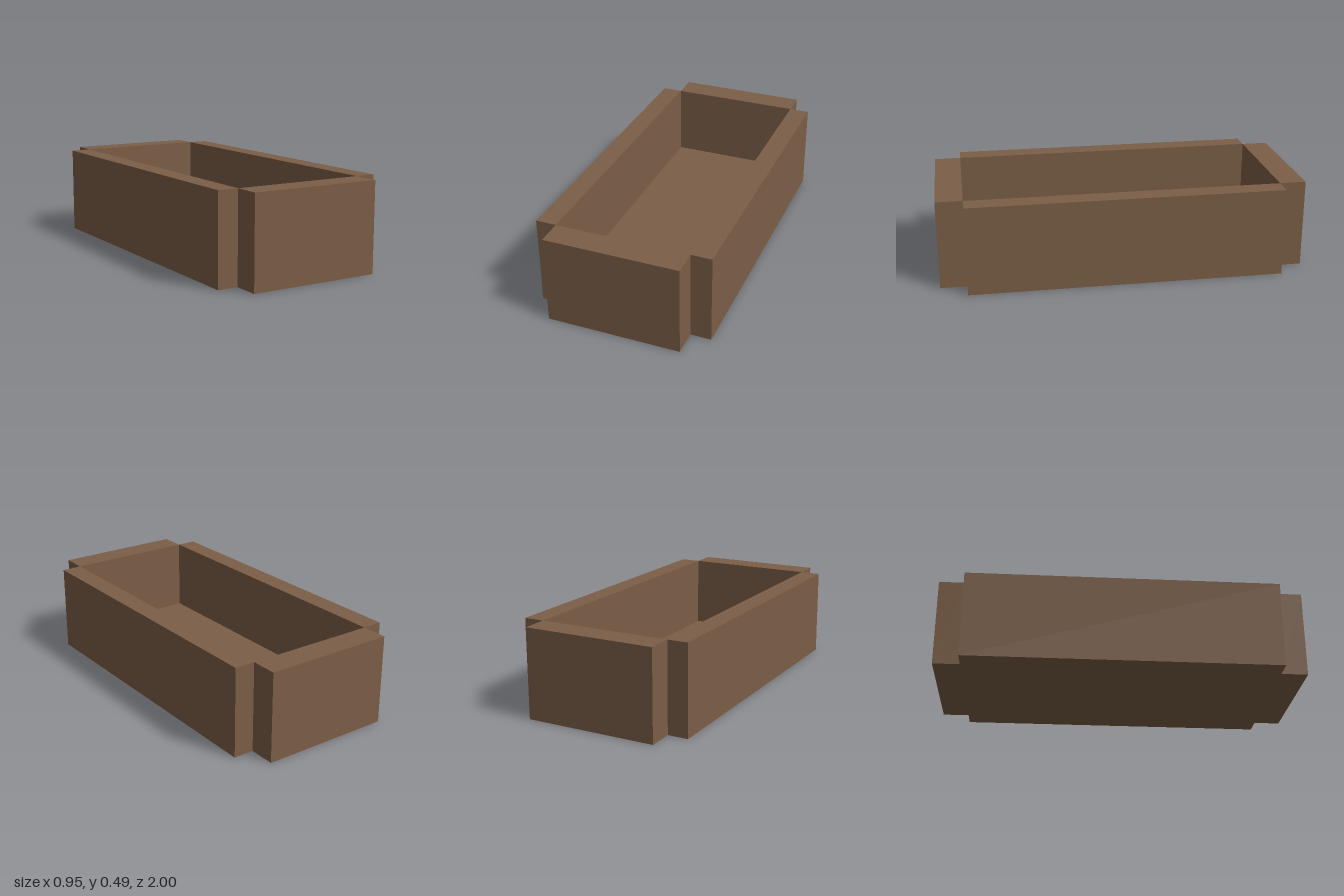
import * as THREE from 'three';

export function createModel() {
  const model = new THREE.Group();
  model.name = 'openCrate';

  const wood = new THREE.MeshStandardMaterial({ color: 0x7b5e47 });
  wood.name = 'brown wood';

  const height = 0.488, floorHeight = 0.08;
  const innerX = 0.364, outerX = 0.476; // side wall faces
  const innerZ = 0.855, outerZ = 1;     // end wall faces

  function box(name, w, h, d, x, z) {
    const mesh = new THREE.Mesh(new THREE.BoxGeometry(w, h, d), wood);
    mesh.name = name;
    mesh.position.set(x, h / 2, z);
    model.add(mesh);
  }

  // Floor between the four walls
  box('floor', innerX * 2, floorHeight, innerZ * 2, 0, 0);

  // Mirrored long side walls and short end walls, leaving notched corners
  for (const s of [1, -1]) {
    box(s > 0 ? 'leftWall' : 'rightWall', outerX - innerX, height, innerZ * 2, s * (innerX + outerX) / 2, 0);
    box(s > 0 ? 'frontWall' : 'backWall', innerX * 2, height, outerZ - innerZ, 0, s * (innerZ + outerZ) / 2);
  }
  return model;
}
